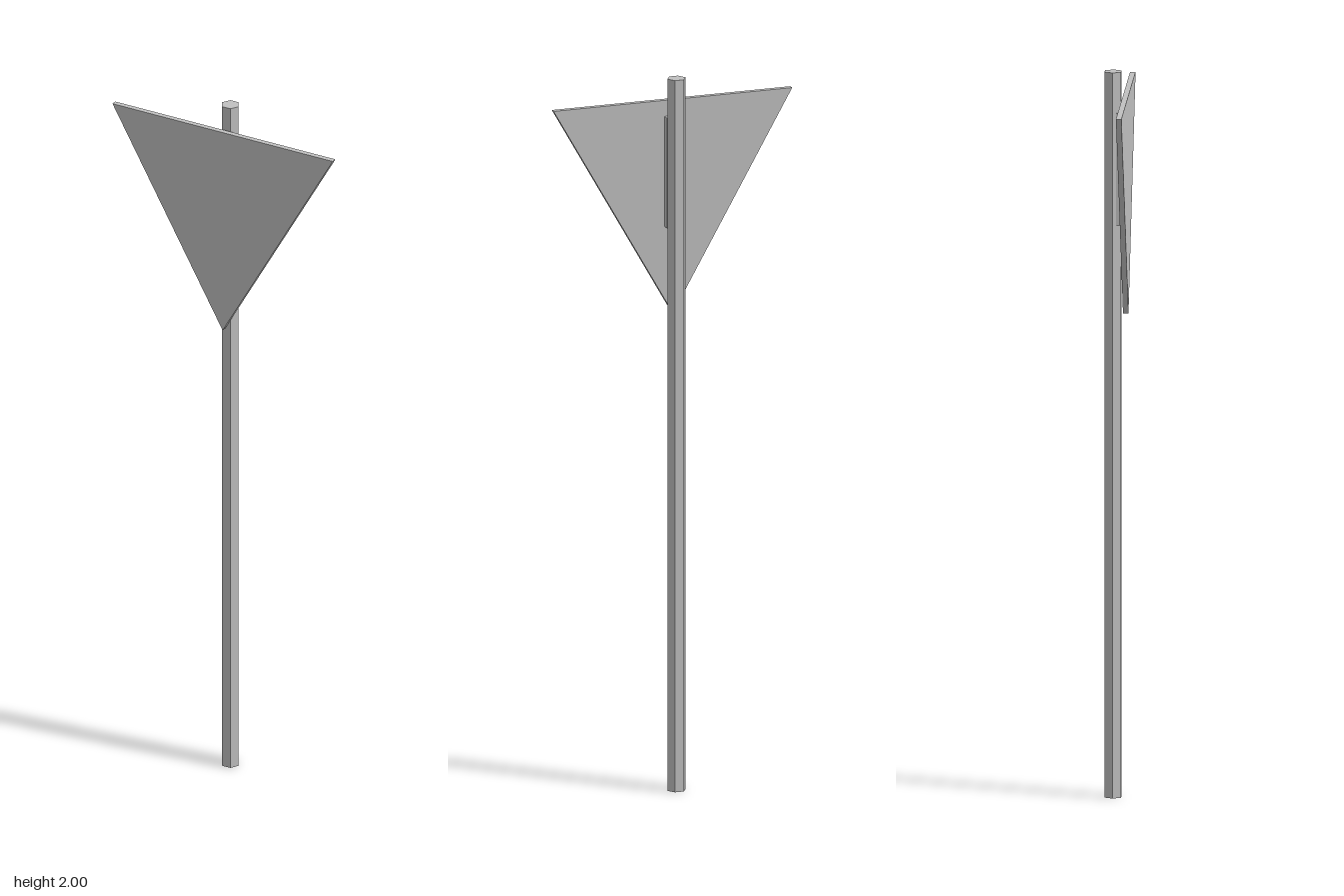
import * as THREE from 'three';

export function createModel() {
  const group = new THREE.Group();
  const metal = new THREE.MeshStandardMaterial({ color: 0xc0c0c0 });
  metal.name = 'grey metal';
  metal.flatShading = true;

  const add = (name, geometry, x, y, z) => {
    const mesh = new THREE.Mesh(geometry, metal);
    mesh.name = name;
    mesh.position.set(x, y, z);
    group.add(mesh);
  };

  // Hexagonal post with a flat side facing the sign
  add('post', new THREE.CylinderGeometry(0.026, 0.026, 2, 6, 1, false, Math.PI / 6), 0, 1, -0.011);

  // Downward-pointing triangular plate
  const triangle = new THREE.Shape([
    new THREE.Vector2(-0.345, 1.933),
    new THREE.Vector2(0, 1.333),
    new THREE.Vector2(0.345, 1.933),
  ]);
  add('signPlate', new THREE.ExtrudeGeometry(triangle, { depth: 0.015, bevelEnabled: false }), 0, 0, 0.016);

  // Mounting block between post and plate
  add('bracket', new THREE.BoxGeometry(0.048, 0.31, 0.018), 0, 1.733, 0.007);

  return group;
}
